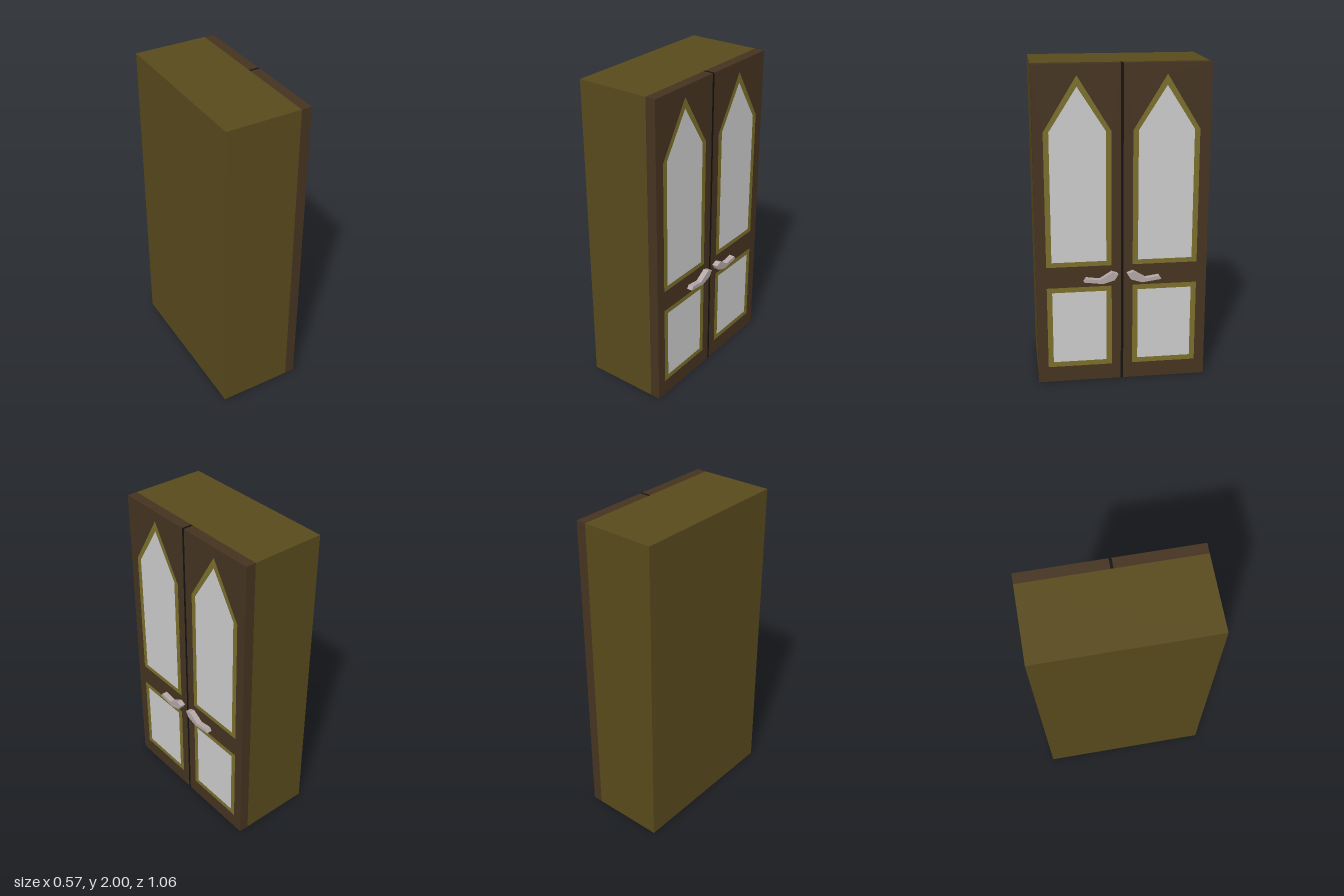
import * as THREE from 'three';

const FRONT = 0.247, SEAM = 0.183, BACK = -0.283, HALF = 0.53, GAP = 0.008;

const paint = (color) => new THREE.MeshStandardMaterial({ color, side: THREE.DoubleSide, flatShading: true });
const points = (list, s = 1) => list.map(([z, y]) => new THREE.Vector2(-z * s, y));

// Box without the listed faces (order: +x, -x, +y, -y, +z, -z)
function openBox(x0, x1, y0, y1, z0, z1, removed) {
  const g = new THREE.BoxGeometry(x1 - x0, y1 - y0, z1 - z0);
  const index = Array.from(g.index.array).filter((_, i) => !removed.includes(Math.floor(i / 6)));
  g.setIndex(index);
  g.clearGroups();
  g.translate((x0 + x1) / 2, (y0 + y1) / 2, (z0 + z1) / 2);
  return g;
}

// Flat sheet facing +x, outlined in (z, y), with optional holes
function sheet(outline, holes, s) {
  const shape = new THREE.Shape(points(outline, s));
  holes.forEach((h) => shape.holes.push(new THREE.Path(points(h, s))));
  return new THREE.ShapeGeometry(shape).rotateY(Math.PI / 2).translate(FRONT, 0, 0);
}

const rect = (a, b, c, d) => [[a, c], [b, c], [b, d], [a, d]];
const arch = (a, b, c, d, apex) => [[a, c], [b, c], [b, d], [(a + b) / 2, apex], [a, d]];

export function createModel() {
  const model = new THREE.Group();
  const olive = paint(0x584a1c), brown = paint(0x453320), trim = paint(0x7a6e2b);
  const grey = paint(0xcccccc), black = paint(0x121212), metal = paint(0xb3a6a6);

  function add(parent, name, geometry, material) {
    const mesh = new THREE.Mesh(geometry, material);
    mesh.name = name;
    parent.add(mesh);
  }

  // Hollow cabinet, open underneath
  add(model, 'cabinetBody', openBox(BACK, SEAM, 0, 2, -HALF, HALF, [0, 3]), olive);
  // Dark strip between the doors
  add(model, 'doorGap', openBox(SEAM, FRONT, 0, 2, -GAP, GAP, [1, 3, 4, 5]), black);

  const panels = [
    { name: 'upper', outer: arch(0.065, 0.467, 0.77, 1.607, 1.935), inner: arch(0.098, 0.434, 0.8, 1.607, 1.87) },
    { name: 'lower', outer: rect(0.065, 0.467, 0.102, 0.635), inner: rect(0.098, 0.434, 0.135, 0.603) },
  ];
  const handle = [[0.028, 0.72], [0.066, 0.735], [0.142, 0.688], [0.226, 0.7],
    [0.24, 0.678], [0.12, 0.662], [0.05, 0.684]];

  for (const s of [1, -1]) {
    const door = new THREE.Group();
    door.name = s > 0 ? 'leftDoor' : 'rightDoor';
    const z0 = s > 0 ? GAP : -HALF, z1 = s > 0 ? HALF : -GAP;
    add(door, 'doorEdges', openBox(SEAM, FRONT, 0, 2, z0, z1, [0, 1, 3]), brown);
    add(door, 'doorFront', sheet(rect(GAP, HALF, 0, 2), panels.map((p) => p.outer), s), brown);

    // Trimmed panels set flush in the door
    for (const p of panels) {
      add(door, p.name + 'Frame', sheet(p.outer, [p.inner], s), trim);
      add(door, p.name + 'Panel', sheet(p.inner, [], s), grey);
    }

    // Angular handle
    const grip = new THREE.ExtrudeGeometry(new THREE.Shape(points(handle, s)), { depth: 0.036, bevelEnabled: false });
    add(door, 'handle', grip.rotateY(Math.PI / 2).translate(FRONT, 0, 0), metal);
    model.add(door);
  }

  // Two low blocks inside, seen through the open base
  add(model, 'innerBlockLeft', openBox(-0.04, 0.16, 0.04, 0.12, 0.01, 0.39, []), brown);
  add(model, 'innerBlockRight', openBox(-0.04, 0.16, 0.04, 0.12, -0.467, -0.136, []), brown);

  return model;
}
